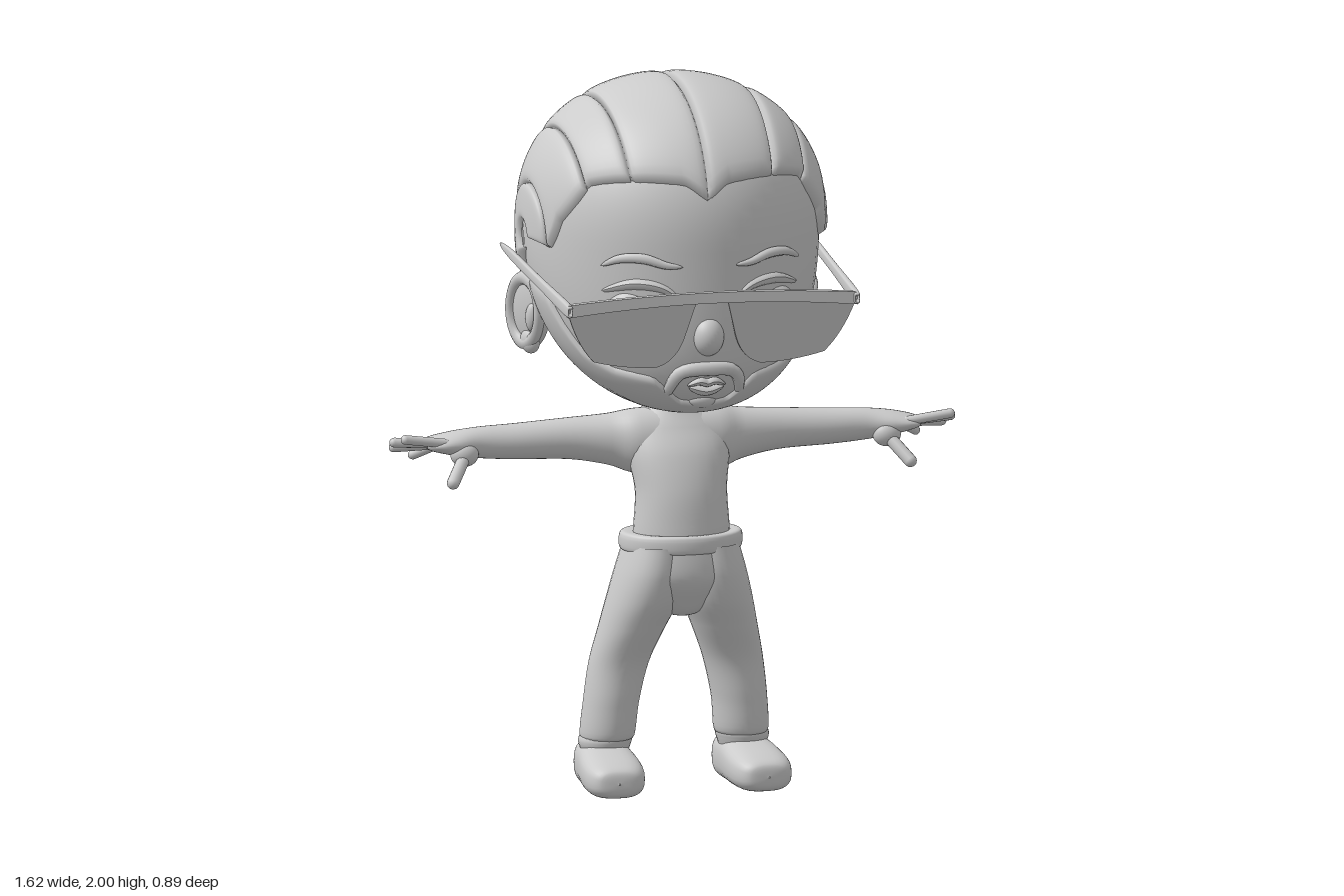
import * as THREE from 'three';
import { ParametricGeometry } from 'three/addons/geometries/ParametricGeometry.js';

const grey = new THREE.MeshStandardMaterial({ color: 0xcccccc });
const greyThin = new THREE.MeshStandardMaterial({ color: 0xcccccc, side: THREE.DoubleSide });
const black = new THREE.MeshStandardMaterial({ color: 0x080808 });
const { sin, cos, sqrt, abs, pow, PI } = Math;
const rad = PI / 180;

function mesh(name, geo, parent, mat = grey) {
  const m = new THREE.Mesh(geo, mat);
  m.name = name;
  parent.add(m);
  return m;
}

// Smooth (Catmull-Rom) interpolation through rows of numbers
function spline(rows, v) {
  const n = rows.length - 1, f = Math.min(v * n, n - 1e-9), i = Math.floor(f), t = f - i;
  const R = k => rows[Math.max(0, Math.min(n, k))];
  return rows[0].map((_, c) => {
    const [a, b, d, e] = [R(i - 1)[c], R(i)[c], R(i + 1)[c], R(i + 2)[c]];
    return b + 0.5 * t * (d - a + t * (2 * a - 5 * b + 4 * d - e + t * (3 * (b - d) + e - a)));
  });
}

// Loft of ellipses along an axis; row = [t, centreA, radiusA, centreB, radiusB]; p < 1 squares the section
function loft(rows, axis = 'y', nu = 32, nv = 40, p = 1) {
  const sp = x => Math.sign(x) * pow(abs(x), p);
  return new ParametricGeometry((u, v, o) => {
    const [t, ca, ra, cb, rb] = spline(rows, v), w = u * 2 * PI;
    const a = ca + Math.max(ra, 0.0005) * sp(sin(w)), b = cb + Math.max(rb, 0.0005) * sp(cos(w));
    if (axis === 'y') o.set(a, t, b); else if (axis === 'x') o.set(t, b, a); else o.set(b, a, t);
  }, nu, nv);
}

// Skull surface point for a unit direction, raised by off
function skull(x, y, z, off, o) {
  const s = Math.max(-0.9999, Math.min(0.9999, y)), up = s > 0;
  const k = sqrt((1 - pow(abs(s), up ? 2.5 : 2)) / (1 - s * s)), low = up ? 0 : s * s;
  return o.set(x * (k * 0.41 * (1 + 0.12 * low) + off), 1.56 + s * ((up ? 0.415 : 0.465) + off),
    z * (k * 0.41 + off) - 0.015 + 0.2 * low);
}

// Point on the face at a given x, y
function face(x, y, off = 0) {
  const s = (y - 1.56) / (y > 1.56 ? 0.415 : 0.465), h = 1 - pow(abs(s), s > 0 ? 2.5 : 2);
  return new THREE.Vector3(x, y, 0.41 * sqrt(Math.max(0, h - (x / 0.42) ** 2)) - 0.015 + (s < 0 ? 0.2 * s * s : 0) + off);
}

// Tapered tube lying on the face
function strip(name, pts, r, parent, off = 0.004) {
  const n = 28, curve = new THREE.CatmullRomCurve3(pts.map(([x, y]) => face(x, y, off)));
  const g = new THREE.TubeGeometry(curve, n, r, 8), pos = g.attributes.position, q = new THREE.Vector3();
  for (let k = 0; k < pos.count; k++) {
    const t = Math.floor(k / 9) / n, c = curve.getPointAt(t);
    q.fromBufferAttribute(pos, k).lerp(c, 1 - sqrt(Math.max(0, sin(PI * t)))).toArray(pos.array, k * 3);
  }
  g.computeVertexNormals();
  return mesh(name, g, parent);
}

function ball(name, parent, p, s, mat) {
  const m = mesh(name, new THREE.SphereGeometry(1, 28, 20), parent, mat);
  m.position.set(...p);
  m.scale.set(...s);
  return m;
}

function limb(name, a, b, r, parent) {
  const A = new THREE.Vector3(...a), B = new THREE.Vector3(...b), d = B.clone().sub(A);
  const m = mesh(name, new THREE.CapsuleGeometry(r, d.length(), 6, 12), parent);
  m.position.copy(A).add(B).multiplyScalar(0.5);
  m.quaternion.setFromUnitVectors(new THREE.Vector3(0, 1, 0), d.normalize());
}

// Piecewise linear lookup
function lookup(table, x) {
  let i = 0;
  while (i < table.length - 2 && x > table[i + 1][0]) i++;
  const [[x0, y0], [x1, y1]] = [table[i], table[i + 1]];
  return y0 + (y1 - y0) * Math.max(0, Math.min(1, (x - x0) / (x1 - x0)));
}

function buildHead(head) {
  mesh('skull', new ParametricGeometry((u, v, o) => {
    const a = u * 2 * PI, e = (v - 0.5) * PI * 0.998;
    skull(cos(e) * sin(a), sin(e), cos(e) * cos(a), 0, o);
  }, 56, 44), head);

  // Swept-back hair: strands running from hairline to nape
  const hairline = [[0, 20], [8, 27], [25, 31], [44, 36], [61, 20], [69, -5], [83, 0]];
  const edges = [-84, -70, -46, -28, 0, 28, 46, 70, 84];
  const puff = (t, n) => sqrt(Math.max(0, 1 - pow(abs(2 * t - 1), n)));
  for (let i = 0; i < edges.length - 1; i++) {
    mesh('hairStrand', new ParametricGeometry((u, v, o) => {
      const deg = edges[i] + (edges[i + 1] - edges[i]) * u, l = deg * rad;
      const f0 = lookup(hairline, abs(deg)), f = (f0 + (233 - f0) * v) * rad;
      const off = 0.025 * puff(v, 40) * (0.35 + 0.65 * puff(u, 7)) - 0.002;
      skull(sin(l), cos(l) * sin(f), cos(l) * cos(f), off, o);
    }, 18, 56), head, greyThin);
  }

  // Beard along the jaw
  const beardTop = [[0, 1.13], [20, 1.14], [30, 1.21], [52, 1.23], [66, 1.27], [76, 1.42], [98, 1.45]];
  mesh('beard', new ParametricGeometry((u, v, o) => {
    const a = (u * 2 - 1) * 96, top = (lookup(beardTop, abs(a)) - 1.56) / 0.465;
    const s = -0.985 + (top + 0.985) * v, h = sqrt(1 - s * s);
    skull(h * sin(a * rad), s, h * cos(a * rad), 0.014 * puff(0.5 + v / 2, 24) * puff(u, 40) - 0.001, o);
  }, 72, 20), head, greyThin);
  strip('moustache', [[-0.095, 1.12], [-0.1, 1.18], [-0.075, 1.225], [0, 1.235], [0.075, 1.225], [0.1, 1.18], [0.095, 1.12]], 0.02, head);
  strip('upperLip', [[-0.055, 1.185], [-0.02, 1.198], [0, 1.193], [0.02, 1.198], [0.055, 1.185]], 0.012, head, 0.008);
  strip('lowerLip', [[-0.05, 1.18], [0, 1.168], [0.05, 1.18]], 0.014, head, 0.008);
  ball('chinTuft', head, [0, 1.135, 0.3], [0.045, 0.025, 0.03]);
  ball('nose', head, [0, 1.325, 0.375], [0.045, 0.055, 0.045]);

  for (const s of [1, -1]) {
    const side = new THREE.Group();
    side.name = s > 0 ? 'leftFace' : 'rightFace';
    side.scale.x = s;
    head.add(side);
    strip('brow', [[0.075, 1.525], [0.12, 1.53], [0.18, 1.548], [0.24, 1.545], [0.285, 1.522]], 0.014, side);
    ball('eye', side, [0.18, 1.375, 0.295], [0.095, 0.095, 0.07]);
    ball('pupil', side, [0.185, 1.37, 0.33], [0.05, 0.06, 0.042], black);
    strip('eyelid', [[0.075, 1.43], [0.13, 1.465], [0.2, 1.475], [0.28, 1.45]], 0.016, side, -0.006);

    // Ear with rim and inner fold
    const ear = new THREE.Group();
    ear.name = 'ear';
    ear.position.set(0.39, 1.34, -0.075);
    ear.rotation.set(0.15, -0.4, 0);
    side.add(ear);
    ball('earBody', ear, [-0.005, 0, 0], [0.028, 0.11, 0.08]);
    const rim = mesh('earRim', new THREE.TorusGeometry(0.075, 0.016, 10, 36), ear);
    rim.rotation.y = PI / 2;
    rim.scale.set(0.85, 1.25, 1.1);
    rim.position.x = 0.014;
    ball('earFold', ear, [0.018, -0.01, 0.035], [0.016, 0.04, 0.02]);
    ball('earLobe', ear, [0.008, -0.085, 0.02], [0.022, 0.035, 0.035]);
  }
}

function buildGlasses(g) {
  const bar = new THREE.Shape();
  bar.moveTo(-0.415, 1.405);
  bar.quadraticCurveTo(0, 1.45, 0.415, 1.405);
  bar.lineTo(0.415, 1.44);
  bar.quadraticCurveTo(0, 1.475, -0.415, 1.44);
  const barGeo = new THREE.ExtrudeGeometry(bar, { depth: 0.022, bevelEnabled: false, curveSegments: 20 });
  mesh('glassesBar', barGeo.translate(0, 0, 0.41), g);

  const lens = new THREE.Shape();
  lens.moveTo(0.045, 1.43);
  lens.lineTo(0.41, 1.41);
  lens.quadraticCurveTo(0.38, 1.32, 0.33, 1.27);
  lens.quadraticCurveTo(0.24, 1.245, 0.15, 1.245);
  lens.quadraticCurveTo(0.09, 1.26, 0.07, 1.34);
  for (const s of [1, -1]) {
    const side = new THREE.Group();
    side.name = s > 0 ? 'leftGlasses' : 'rightGlasses';
    side.scale.x = s;
    g.add(side);
    const geo = new THREE.ExtrudeGeometry(lens, { depth: 0.007, bevelEnabled: false });
    const p = geo.attributes.position; // lean the lens back toward the cheek
    for (let i = 0; i < p.count; i++) p.setZ(i, p.getZ(i) + 0.415 - (1.43 - p.getY(i)) * 0.22);
    geo.computeVertexNormals();
    mesh('lens', geo, side);
    mesh('templeArm', loft([[-0.215, 1.5, 0, 0.432, 0], [-0.21, 1.5, 0.005, 0.432, 0.004], [-0.1, 1.488, 0.013, 0.43, 0.007],
      [0.15, 1.458, 0.014, 0.422, 0.008], [0.42, 1.425, 0.017, 0.412, 0.009], [0.425, 1.425, 0, 0.412, 0]], 'z', 16, 30, 0.4), side);
  }
}

export function createModel() {
  const model = new THREE.Group();
  model.name = 'figure';
  const head = new THREE.Group(), glasses = new THREE.Group(), body = new THREE.Group();
  head.name = 'head'; glasses.name = 'glasses'; body.name = 'body';
  model.add(head, glasses, body);
  buildHead(head);
  buildGlasses(glasses);

  mesh('torso', loft([[0.68, 0, 0.14, 0.09, 0.11], [0.75, 0, 0.135, 0.095, 0.102], [0.85, 0, 0.13, 0.09, 0.095],
    [0.95, 0, 0.145, 0.062, 0.092], [1.02, 0, 0.14, 0.035, 0.078], [1.07, 0, 0.09, 0.02, 0.063],
    [1.11, 0, 0.064, 0.015, 0.058], [1.2, 0, 0.06, 0.02, 0.058]]), body);
  mesh('belt', loft([[0.682, 0, 0.14, 0.087, 0.105], [0.682, 0, 0.165, 0.087, 0.13], [0.692, 0, 0.173, 0.087, 0.137],
    [0.72, 0, 0.173, 0.087, 0.137], [0.732, 0, 0.163, 0.087, 0.128], [0.73, 0, 0.13, 0.09, 0.095]], 'y', 40), body);
  mesh('hips', loft([[0.49, 0, 0, 0.07, 0], [0.5, 0, 0.05, 0.065, 0.075], [0.54, 0, 0.12, 0.07, 0.11],
    [0.61, 0, 0.172, 0.085, 0.133], [0.7, 0, 0.16, 0.088, 0.128]]), body);

  for (const s of [1, -1]) {
    const side = new THREE.Group();
    side.name = s > 0 ? 'leftLimbs' : 'rightLimbs';
    side.scale.x = s;
    body.add(side);
    mesh('trouserLeg', loft([[0.15, 0.192, 0.05, 0.015, 0.05], [0.15, 0.192, 0.075, 0.017, 0.08], [0.25, 0.183, 0.078, 0.028, 0.08],
      [0.36, 0.163, 0.084, 0.035, 0.083], [0.46, 0.132, 0.092, 0.056, 0.105], [0.54, 0.105, 0.1, 0.072, 0.125],
      [0.62, 0.088, 0.096, 0.083, 0.132], [0.7, 0.075, 0.085, 0.088, 0.125]]), side);
    mesh('sockCuff', loft([[0.11, 0.197, 0.066, 0.012, 0.07], [0.13, 0.197, 0.073, 0.012, 0.077], [0.145, 0.195, 0.074, 0.013, 0.078],
      [0.165, 0.192, 0.066, 0.015, 0.07]], 'y', 32, 12), side);

    // Rounded shoe
    const shoe = mesh('shoe', loft([[-0.085, 0.065, 0, 0, 0], [-0.08, 0.065, 0.042, 0, 0.05], [-0.055, 0.068, 0.066, 0, 0.07],
      [0.03, 0.068, 0.067, 0, 0.078], [0.12, 0.06, 0.059, 0, 0.085], [0.19, 0.053, 0.05, 0, 0.08],
      [0.23, 0.05, 0.034, 0, 0.055], [0.238, 0.05, 0, 0, 0]], 'z', 32, 40, 0.72), side);
    shoe.position.x = 0.2;
    shoe.rotation.y = 0.06;

    // Arm, palm, fingers and thumb
    mesh('arm', loft([[0.03, 0.04, 0.07, 0.985, 0.085], [0.12, 0.032, 0.072, 0.978, 0.09], [0.19, 0.015, 0.063, 0.982, 0.072],
      [0.3, 0.003, 0.054, 0.987, 0.058], [0.45, -0.002, 0.05, 0.985, 0.05], [0.55, 0, 0.046, 0.987, 0.044],
      [0.62, 0, 0.06, 0.988, 0.035], [0.67, -0.003, 0.066, 0.988, 0.024], [0.7, -0.005, 0.052, 0.988, 0.014],
      [0.71, -0.005, 0, 0.988, 0]], 'x'), side);
    const tips = [[0.72, 0.945, -0.087], [0.785, 0.975, -0.05], [0.797, 0.998, 0], [0.78, 1.015, 0.058]];
    tips.forEach((t, i) => limb('finger', [0.66, 0.978 + 0.006 * i, -0.048 + 0.03 * i], t, 0.0135, side));
    limb('thumb', [0.6, 0.965, 0.035], [0.655, 0.895, 0.1], 0.018, side);
    ball('thumbBase', side, [0.605, 0.962, 0.035], [0.04, 0.035, 0.032]);
  }
  return model;
}
